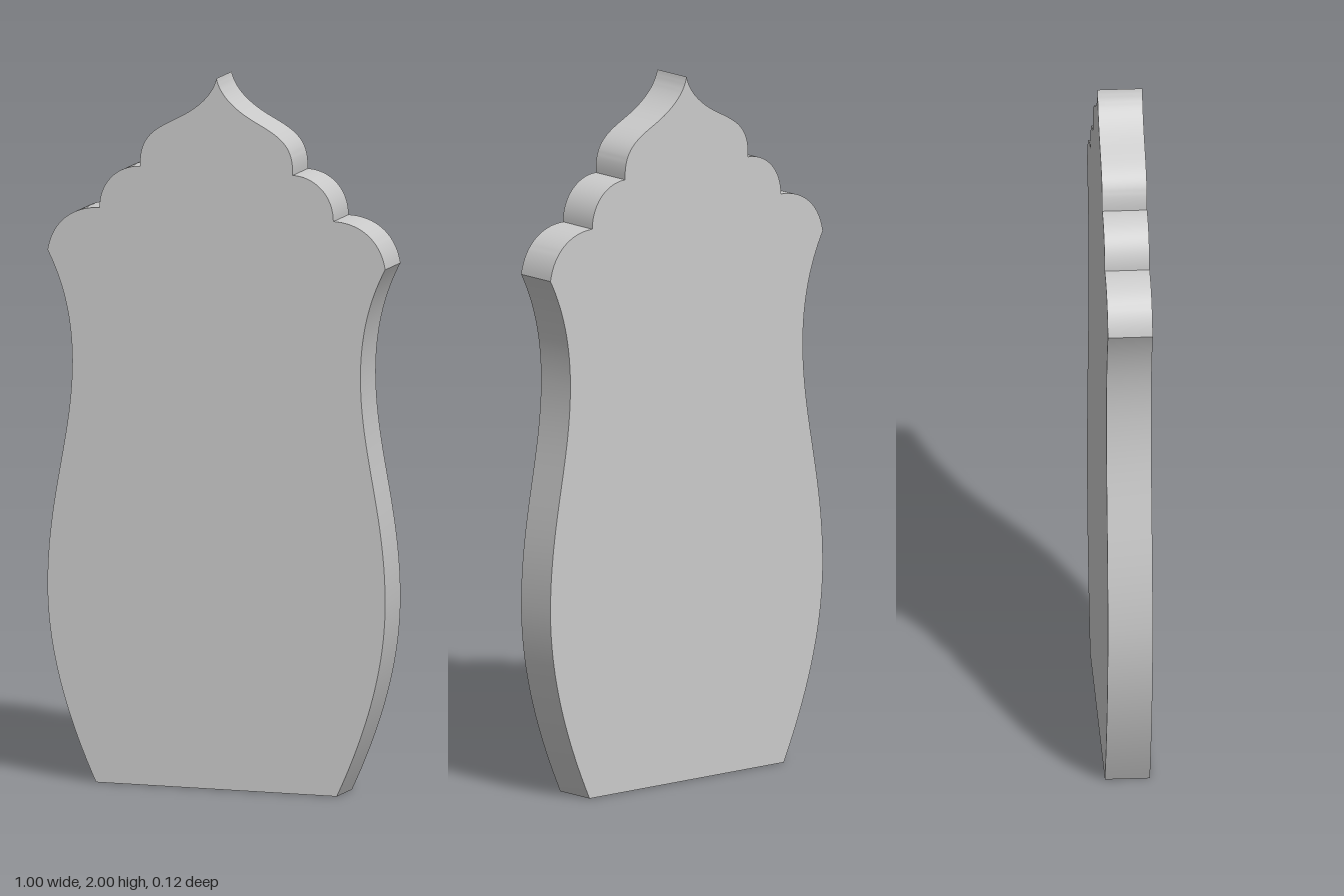
import * as THREE from 'three';
import { toCreasedNormals } from 'three/addons/utils/BufferGeometryUtils.js';

const DEPTH = 0.125;

// Right half of the outline, base to tip: cubic segments [c1x, c1y, c2x, c2y, x, y]
const START = [0.355, 0];
const SEGMENTS = [
  [0.45, 0.2, 0.498, 0.38, 0.498, 0.55],     // belly
  [0.498, 0.8, 0.425, 0.97, 0.425, 1.18],    // waist
  [0.425, 1.3, 0.45, 1.4, 0.498, 1.49],      // flare to the shoulder
  [0.485, 1.57, 0.425, 1.617, 0.345, 1.617], // lower lobe
  [0.345, 1.69, 0.29, 1.74, 0.225, 1.74],    // middle lobe
  [0.228, 1.82, 0.19, 1.845, 0.12, 1.88],    // upper lobe
  [0.05, 1.915, 0.01, 1.955, 0, 2],          // pointed tip
];

function outline() {
  const shape = new THREE.Shape();
  shape.moveTo(...START);
  for (const s of SEGMENTS) shape.bezierCurveTo(...s);
  // Mirror: walk the same segments back down the left side
  for (let i = SEGMENTS.length - 1; i >= 0; i--) {
    const [ax, ay, bx, by] = SEGMENTS[i];
    const [x, y] = i > 0 ? SEGMENTS[i - 1].slice(4) : START;
    shape.bezierCurveTo(-bx, by, -ax, ay, -x, y);
  }
  shape.closePath();
  return shape;
}

export function createModel() {
  const group = new THREE.Group();
  group.name = 'ornamentalPlaque';

  // Flat panel with smooth sides and sharp rims
  const geometry = new THREE.ExtrudeGeometry(outline(), {
    depth: DEPTH, bevelEnabled: false, curveSegments: 20,
  });
  geometry.translate(0, 0, -DEPTH / 2);
  const panel = new THREE.Mesh(
    toCreasedNormals(geometry, Math.PI / 6),
    new THREE.MeshStandardMaterial({ color: 0xcccccc }),
  );
  panel.name = 'panel';
  group.add(panel);
  return group;
}
